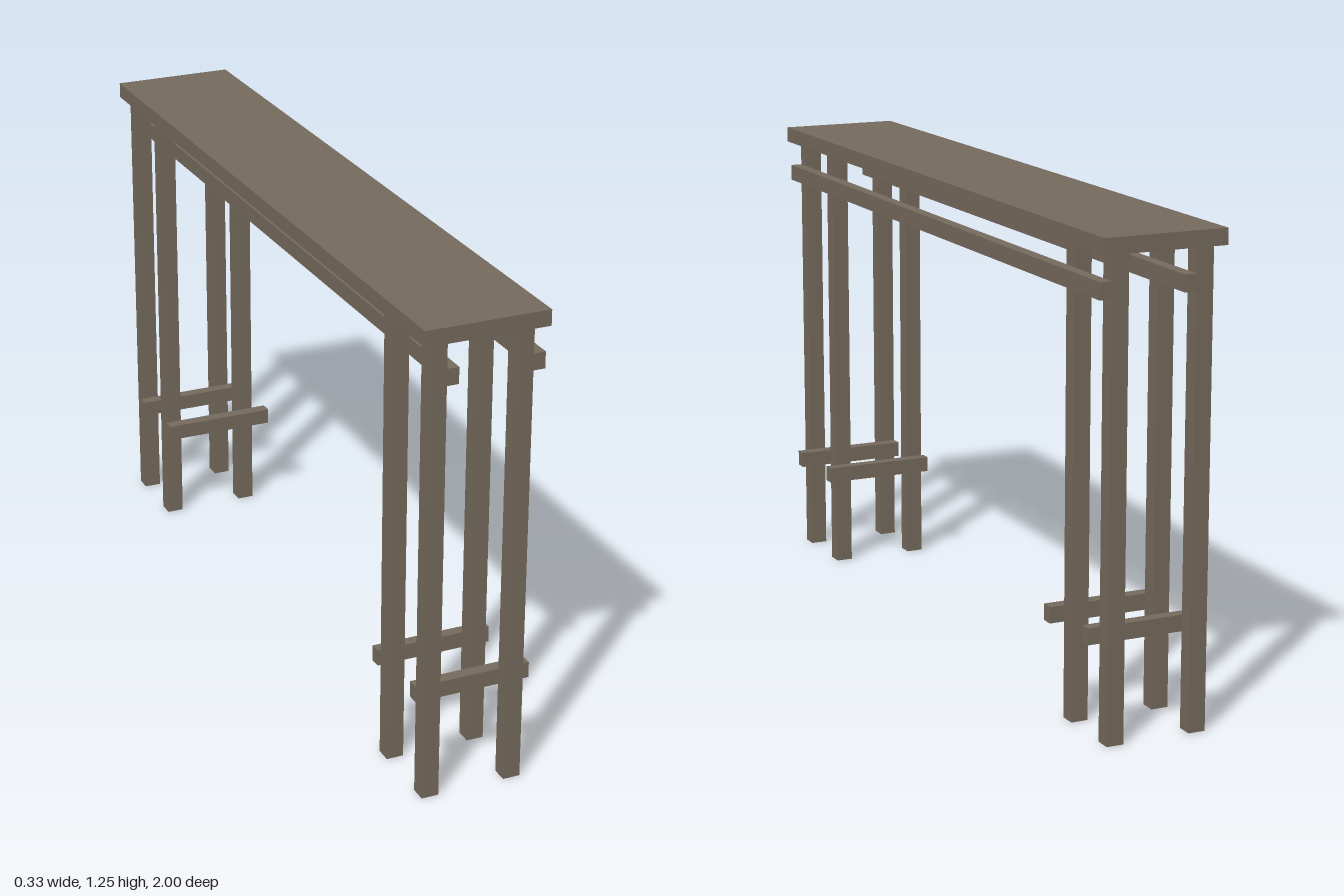
import * as THREE from 'three';

export function createModel() {
  const table = new THREE.Group();
  table.name = 'narrowTable';
  const wood = new THREE.MeshStandardMaterial({ color: 0x766a5d });
  wood.name = 'weathered wood';

  // Box given by its extents along each axis
  const board = (name, [x0, x1], [y0, y1], [z0, z1]) => {
    const mesh = new THREE.Mesh(new THREE.BoxGeometry(x1 - x0, y1 - y0, z1 - z0), wood);
    mesh.position.set((x0 + x1) / 2, (y0 + y1) / 2, (z0 + z1) / 2);
    mesh.name = name;
    table.add(mesh);
  };

  board('tableTop', [-0.164, 0.161], [1.207, 1.248], [-1, 1]);

  // Two rows of legs, each with a long rail on its +x face
  const legZ = [[0.945, 0.988], [0.744, 0.787], [-0.778, -0.735], [-0.967, -0.924]];
  for (const x of [-0.145, 0.079]) {
    const outer = x + 0.045;
    for (const z of legZ) board('leg', [x, outer], [0, 1.207], z);
    board('longRail', [outer, outer + 0.031], [1.096, 1.139], [-0.967, 0.988]);
  }

  // Footrests on the inward-facing or forward-facing side of each leg pair
  const rests = [[0.912, 0.945, 0], [0.714, 0.744, -0.008], [-0.735, -0.702, 0], [-0.924, -0.893, -0.008]];
  for (const [z0, z1, shift] of rests)
    board('footrest', [-0.145 + shift, 0.163 + shift], [0.248, 0.29], [z0, z1]);

  return table;
}
